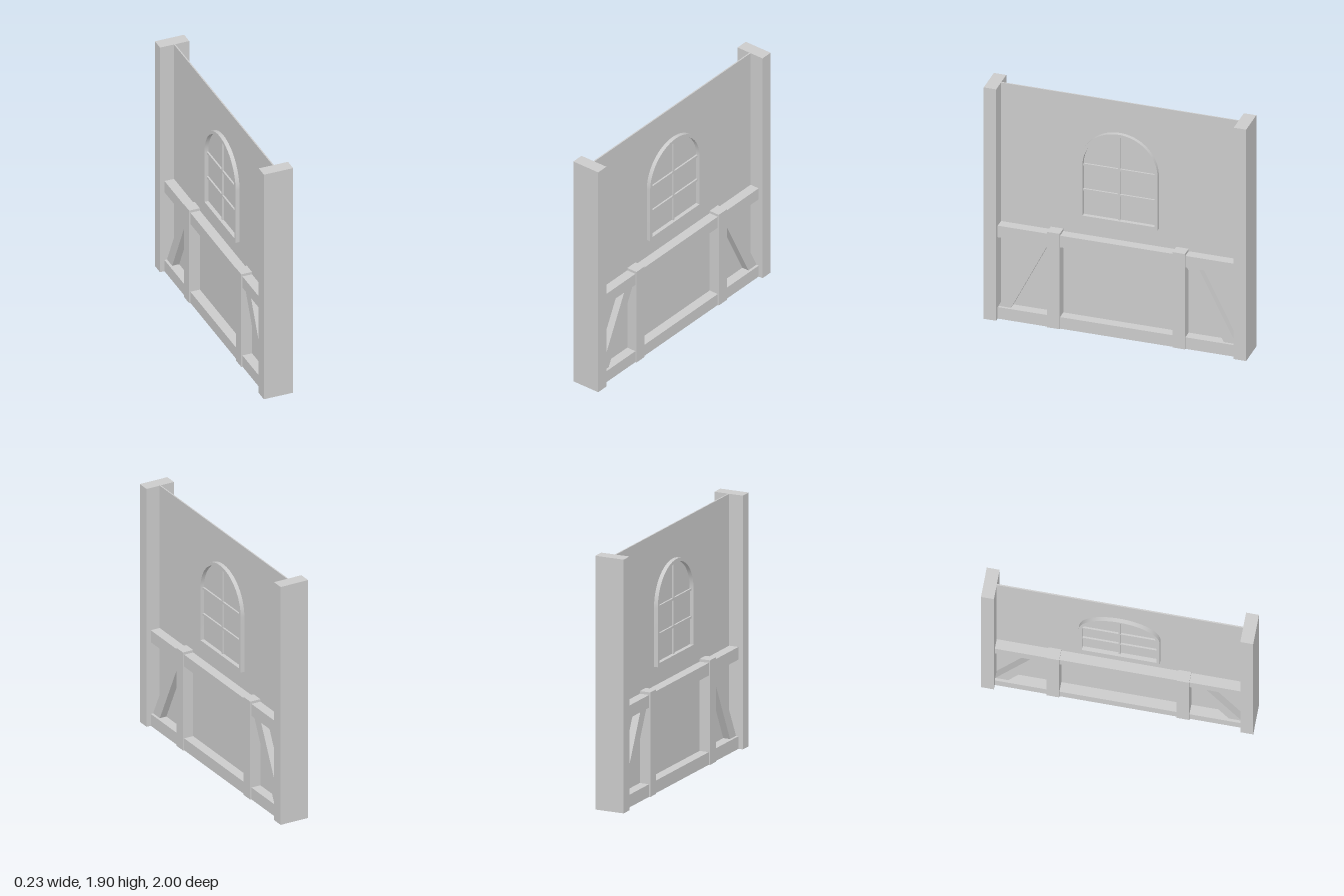
import * as THREE from 'three';
import { toCreasedNormals } from 'three/addons/utils/BufferGeometryUtils.js';

const material = new THREE.MeshStandardMaterial({ color: 0xcccccc });

// Traces an arched outline: straight sides up to springY, then a half circle.
function traceArch(path, radius, bottomY, springY) {
  path.moveTo(-radius, bottomY);
  path.lineTo(radius, bottomY);
  path.lineTo(radius, springY);
  path.absarc(0, springY, radius, 0, Math.PI, false);
  path.closePath();
  return path;
}

// Extrudes a shape drawn in (z, y) evenly to both sides of the wall.
function extrudeAcross(shape, halfDepth) {
  const geometry = new THREE.ExtrudeGeometry(shape, {
    depth: halfDepth * 2, bevelEnabled: false, curveSegments: 32,
  });
  geometry.translate(0, 0, -halfDepth);
  geometry.rotateY(-Math.PI / 2);
  return toCreasedNormals(geometry, 0.5);
}

export function createModel() {
  const group = new THREE.Group();

  function add(name, geometry, parent = group) {
    const mesh = new THREE.Mesh(geometry, material);
    mesh.name = name;
    parent.add(mesh);
    return mesh;
  }

  // Box centred on x = 0, given by its half depth and its y and z ranges.
  function beam(name, halfX, y0, y1, z0, z1, parent) {
    const mesh = add(name, new THREE.BoxGeometry(halfX * 2, y1 - y0, z1 - z0), parent);
    mesh.position.set(0, (y0 + y1) / 2, (z0 + z1) / 2);
  }

  // Thin wall panel and the horizontal timbers
  beam('wallPanel', 0.005, 0, 1.905, -0.905, 0.905);
  beam('bottomRail', 0.08, 0, 0.095, -0.905, 0.905);
  beam('middleRail', 0.08, 0.67, 0.765, -0.905, 0.905);

  // Mirrored uprights and slanted braces
  for (const side of [1, -1]) {
    const label = side > 0 ? 'front' : 'back';
    const span = (a, b) => [Math.min(a * side, b * side), Math.max(a * side, b * side)];
    beam(label + 'Post', 0.115, 0, 1.905, ...span(0.905, 1));
    beam(label + 'Stud', 0.09, 0, 0.785, ...span(0.43, 0.525));

    const corners = [[0.905, 0.095], [0.62, 0.67], [0.525, 0.67], [0.81, 0.095]];
    const brace = new THREE.Shape(corners.map(([z, y]) => new THREE.Vector2(z * side, y)));
    add(label + 'Brace', extrudeAcross(brace, 0.06));
  }

  // Arched window: frame ring and glazing bars on both faces of the wall
  const windowGroup = new THREE.Group();
  windowGroup.name = 'archedWindow';
  group.add(windowGroup);

  const frame = traceArch(new THREE.Shape(), 0.298, 0.91, 1.35);
  frame.holes.push(traceArch(new THREE.Path(), 0.274, 0.935, 1.35));
  add('windowFrame', extrudeAcross(frame, 0.036), windowGroup);

  beam('verticalBar', 0.018, 0.93, 1.627, -0.008, 0.008, windowGroup);
  for (const y of [1.139, 1.347]) {
    beam('horizontalBar', 0.018, y - 0.008, y + 0.008, -0.277, 0.277, windowGroup);
  }

  return group;
}
